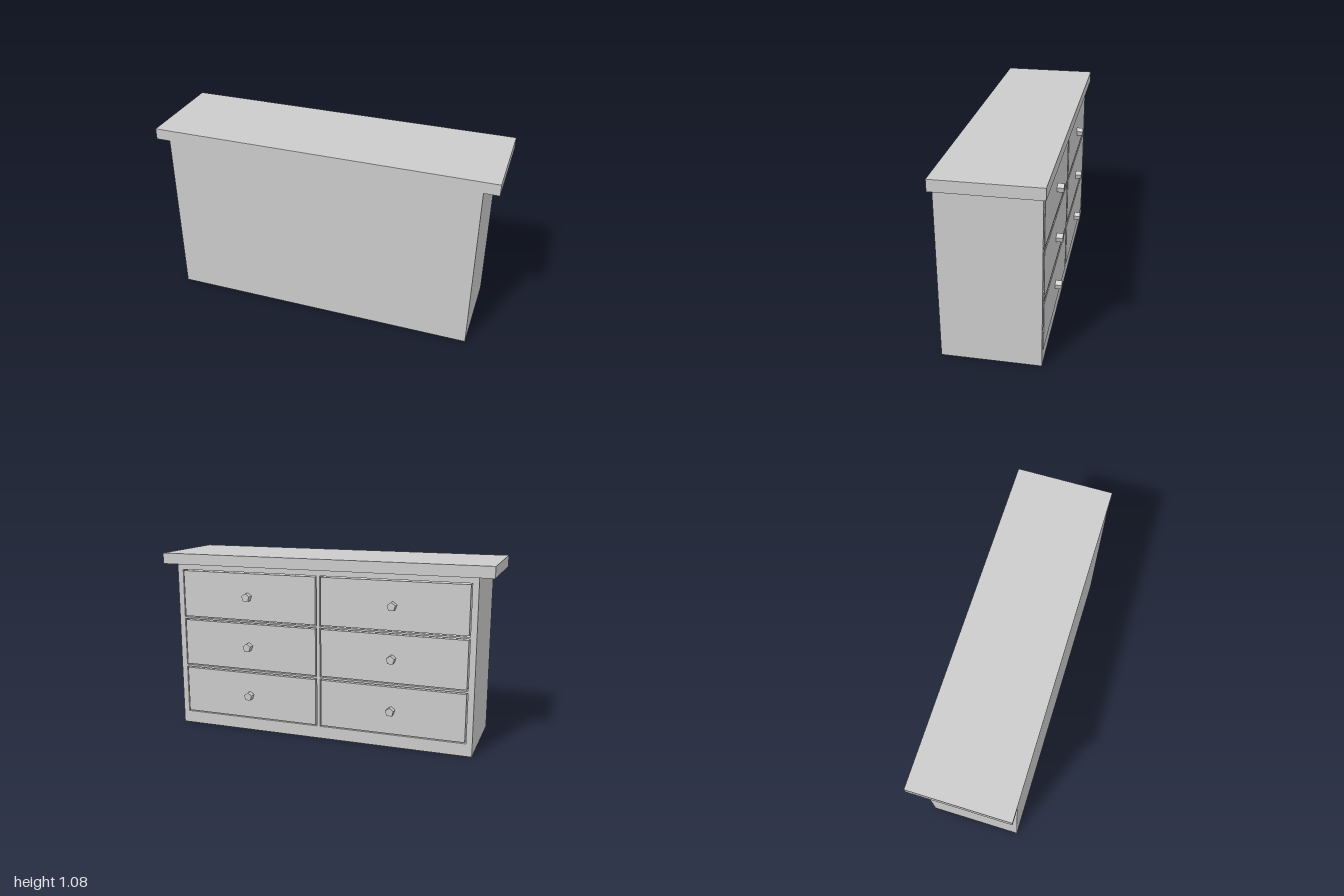
import * as THREE from 'three';

const material = new THREE.MeshStandardMaterial({ color: 0xcccccc, flatShading: true });

function add(parent, name, geometry, x, y, z) {
  const mesh = new THREE.Mesh(geometry, material);
  mesh.name = name;
  mesh.position.set(x, y, z);
  parent.add(mesh);
  return mesh;
}

// Rectangle outline from its centre and half sizes
function rect(path, cx, cy, hw, hh) {
  path.moveTo(cx - hw, cy - hh);
  path.lineTo(cx + hw, cy - hh);
  path.lineTo(cx + hw, cy + hh);
  path.lineTo(cx - hw, cy + hh);
  path.closePath();
  return path;
}

export function createModel() {
  const group = new THREE.Group();
  group.name = 'dresser';

  const width = 1.83, height = 1.01;
  const faceZ = -0.255, wallZ = 0.295, panel = 0.05;
  const columns = [-0.445, 0.445];
  const rows = [0.221, 0.526, 0.83];

  // Carcass: a frame with six drawer openings, closed by a wall panel
  const outline = rect(new THREE.Shape(), 0, height / 2, width / 2, height / 2);
  for (const x of columns)
    for (const y of rows) outline.holes.push(rect(new THREE.Path(), x, y, 0.435, 0.147));
  const depth = wallZ - panel - faceZ;
  add(group, 'carcass', new THREE.ExtrudeGeometry(outline, { depth, bevelEnabled: false }), 0, 0, faceZ);
  add(group, 'wallPanel', new THREE.BoxGeometry(width, height, panel), 0, height / 2, wallZ - panel / 2);

  // Overhanging top slab, flush with the wall panel
  add(group, 'top', new THREE.BoxGeometry(2, 0.065, 0.575), 0, 1.0425, 0.0075);

  // Drawers with five-sided knobs, standing just proud of the frame
  const drawerGeometry = new THREE.BoxGeometry(0.856, 0.28, 0.482);
  const knobGeometry = new THREE.CylinderGeometry(0.026, 0.026, 0.04, 5).rotateX(-Math.PI / 2);
  for (const x of columns) {
    for (const y of rows) {
      const drawer = new THREE.Group();
      drawer.name = 'drawer';
      drawer.position.set(x, y, 0);
      add(drawer, 'drawerFront', drawerGeometry, 0, 0, -0.257 + 0.241);
      add(drawer, 'knob', knobGeometry, 0, 0, -0.275);
      group.add(drawer);
    }
  }
  return group;
}
